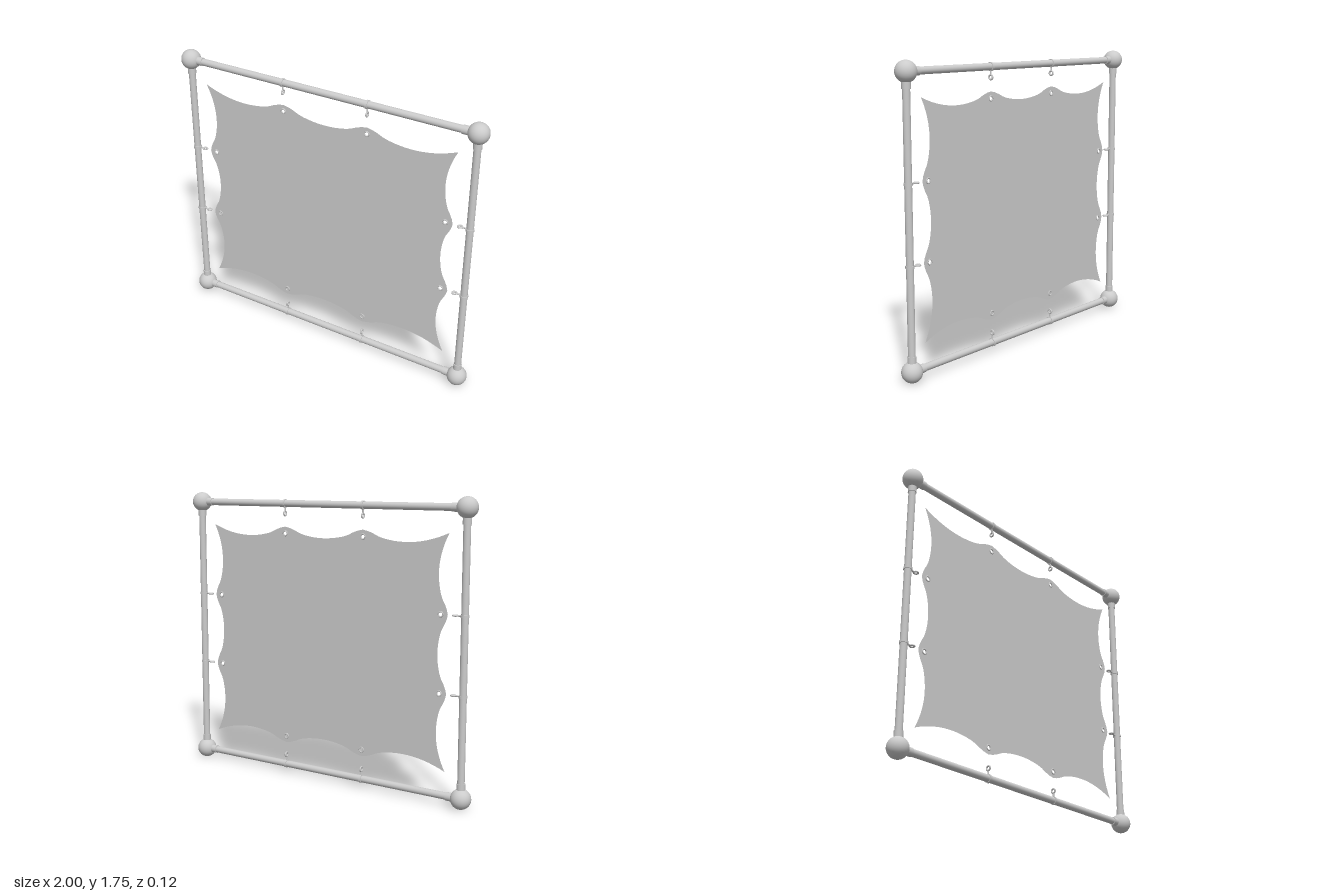
import * as THREE from 'three';

const W = 0.94, Y0 = 0.06, Y1 = 1.69, BALL = 0.06, ROD = 0.021;
const BX = 0.835, B0 = 0.2, B1 = 1.55, SAG = 0.06;
const grey = new THREE.MeshStandardMaterial({ color: 0xcccccc });
const clothGrey = new THREE.MeshStandardMaterial({ color: 0xcccccc, side: THREE.DoubleSide });

function add(parent, name, geometry, x = 0, y = 0, z = 0, material = grey) {
  const mesh = new THREE.Mesh(geometry, material);
  mesh.name = name;
  mesh.position.set(x, y, z);
  parent.add(mesh);
  return mesh;
}

// Rod along local x with end collars and two loops that point to local -y
function frameSide(length, loopOffset) {
  const side = new THREE.Group();
  add(side, 'rod', new THREE.CylinderGeometry(ROD, ROD, length, 24, 1, true)).rotation.z = Math.PI / 2;
  for (const s of [-1, 1]) {
    add(side, 'collar', new THREE.CylinderGeometry(0.025, 0.025, 0.06, 24), s * (length / 2 - 0.06)).rotation.z = Math.PI / 2;
    const loop = new THREE.Group();
    loop.name = 'tieLoop';
    loop.position.x = s * loopOffset;
    add(loop, 'clampRing', new THREE.CylinderGeometry(0.025, 0.025, 0.014, 24)).rotation.z = Math.PI / 2;
    add(loop, 'stem', new THREE.CylinderGeometry(0.005, 0.005, 0.03, 10), 0, -0.034);
    add(loop, 'eye', new THREE.TorusGeometry(0.013, 0.005, 10, 20), 0, -0.06).rotation.y = Math.PI / 2;
    side.add(loop);
  }
  return side;
}

// Depth of the scalloped edge at t = 0..1: three arcs, rounded at the inner peaks
function scallop(t) {
  const u = (t * 3) % 1;
  const arc = 4 * u * (1 - u);
  const near = Math.abs(t * 3 - Math.round(t * 3));
  const inner = t > 1 / 6 && t < 5 / 6;
  return SAG * (inner && near < 0.2 ? 0.64 * (near / 0.2) ** 1.5 : arc);
}

function bannerShape(eyelets) {
  const corners = [[-BX, B0], [BX, B0], [BX, B1], [-BX, B1]];
  const inward = [[0, 1], [-1, 0], [0, -1], [1, 0]];
  const points = [], steps = 48;
  corners.forEach((a, i) => {
    const b = corners[(i + 1) % 4];
    for (let k = 0; k < steps; k++) {
      const t = k / steps, d = k ? scallop(t) : 0;
      points.push(new THREE.Vector2(
        a[0] + (b[0] - a[0]) * t + inward[i][0] * d,
        a[1] + (b[1] - a[1]) * t + inward[i][1] * d));
    }
  });
  const shape = new THREE.Shape(points);
  for (const [x, y] of eyelets) shape.holes.push(new THREE.Path().absarc(x, y, 0.013, 0, Math.PI * 2, true));
  return shape;
}

export function createModel() {
  const model = new THREE.Group();
  model.name = 'bannerFrame';
  const midY = (Y0 + Y1) / 2, clothY = (B0 + B1) / 2;

  // Corner balls
  for (const x of [-W, W]) for (const y of [Y0, Y1]) {
    add(model, 'cornerBall', new THREE.SphereGeometry(BALL, 32, 20), x, y);
  }

  // Four frame sides, loops facing inward
  const sides = [
    ['topRail', 0, Y1, 0, 2 * W, BX / 3],
    ['bottomRail', 0, Y0, Math.PI, 2 * W, BX / 3],
    ['leftPost', W, midY, -Math.PI / 2, Y1 - Y0, 0.225],
    ['rightPost', -W, midY, Math.PI / 2, Y1 - Y0, 0.225],
  ];
  for (const [name, x, y, angle, length, offset] of sides) {
    const side = frameSide(length, offset);
    side.name = name;
    side.position.set(x, y, 0);
    side.rotation.z = angle;
    model.add(side);
  }

  // Stretched cloth with eyelets
  const eyelets = [];
  for (const s of [-1, 1]) for (const t of [-1, 1]) {
    eyelets.push([s * BX / 3, clothY + t * 0.635], [s * 0.79, clothY + t * 0.225]);
  }
  add(model, 'cloth', new THREE.ShapeGeometry(bannerShape(eyelets), 20), 0, 0, 0, clothGrey);
  for (const [x, y] of eyelets) add(model, 'eyelet', new THREE.TorusGeometry(0.0145, 0.004, 8, 24), x, y);

  return model;
}
